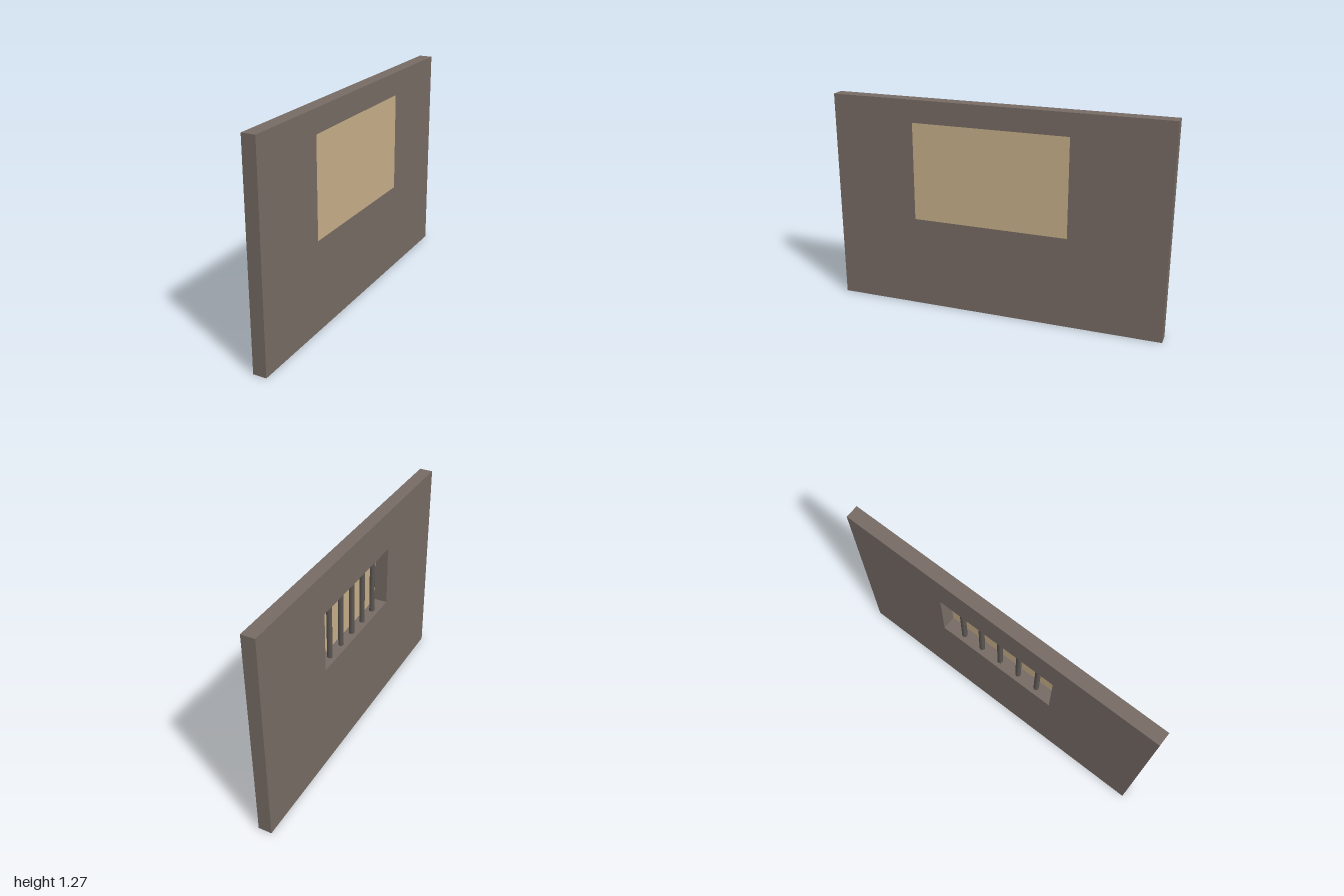
import * as THREE from 'three';

const WALL_FRONT = 0.033, WALL_DEPTH = 0.08, HEIGHT = 1.27;
const SILL = 0.665, LINTEL = 1.03, HALF_OPENING = 0.38;

function material(name, color, side = THREE.FrontSide) {
  const m = new THREE.MeshStandardMaterial({ color, side });
  m.name = name;
  return m;
}

// Closed rectangle outline, for the wall and its opening
function rectangle(path, x0, y0, x1, y1) {
  path.moveTo(x0, y0);
  path.lineTo(x1, y0);
  path.lineTo(x1, y1);
  path.lineTo(x0, y1);
  path.closePath();
  return path;
}

export function createModel() {
  const model = new THREE.Group();
  model.name = 'barredWall';
  const stone = material('stone', 0x776c65);
  const iron = material('iron', 0x5c5754);
  const paper = material('paper', 0xc8b08a, THREE.DoubleSide);

  // Wall slab with a window cut right through
  const outline = rectangle(new THREE.Shape(), -1, 0, 1, HEIGHT);
  outline.holes.push(rectangle(new THREE.Path(), -HALF_OPENING, SILL, HALF_OPENING, LINTEL));
  const wall = new THREE.Mesh(
    new THREE.ExtrudeGeometry(outline, { depth: WALL_DEPTH, bevelEnabled: false }), stone);
  wall.name = 'wall';
  wall.rotation.y = -Math.PI / 2;
  wall.position.x = WALL_FRONT;
  model.add(wall);

  // Five upright bars in the middle of the opening
  const bars = new THREE.Group();
  bars.name = 'windowBars';
  const barGeometry = new THREE.CylinderGeometry(0.016, 0.016, LINTEL - SILL, 8);
  for (let i = -2; i <= 2; i++) {
    const bar = new THREE.Mesh(barGeometry, iron);
    bar.name = 'bar';
    bar.position.set(WALL_FRONT - WALL_DEPTH / 2, (SILL + LINTEL) / 2, i * 0.13);
    bars.add(bar);
  }
  model.add(bars);

  // Flat sheet hung just off the wall, covering the window
  const sheet = new THREE.Mesh(new THREE.PlaneGeometry(0.93, 0.585), paper);
  sheet.name = 'coverSheet';
  sheet.rotation.y = Math.PI / 2;
  sheet.position.set(0.047, 0.8475, 0.03);
  model.add(sheet);

  return model;
}
